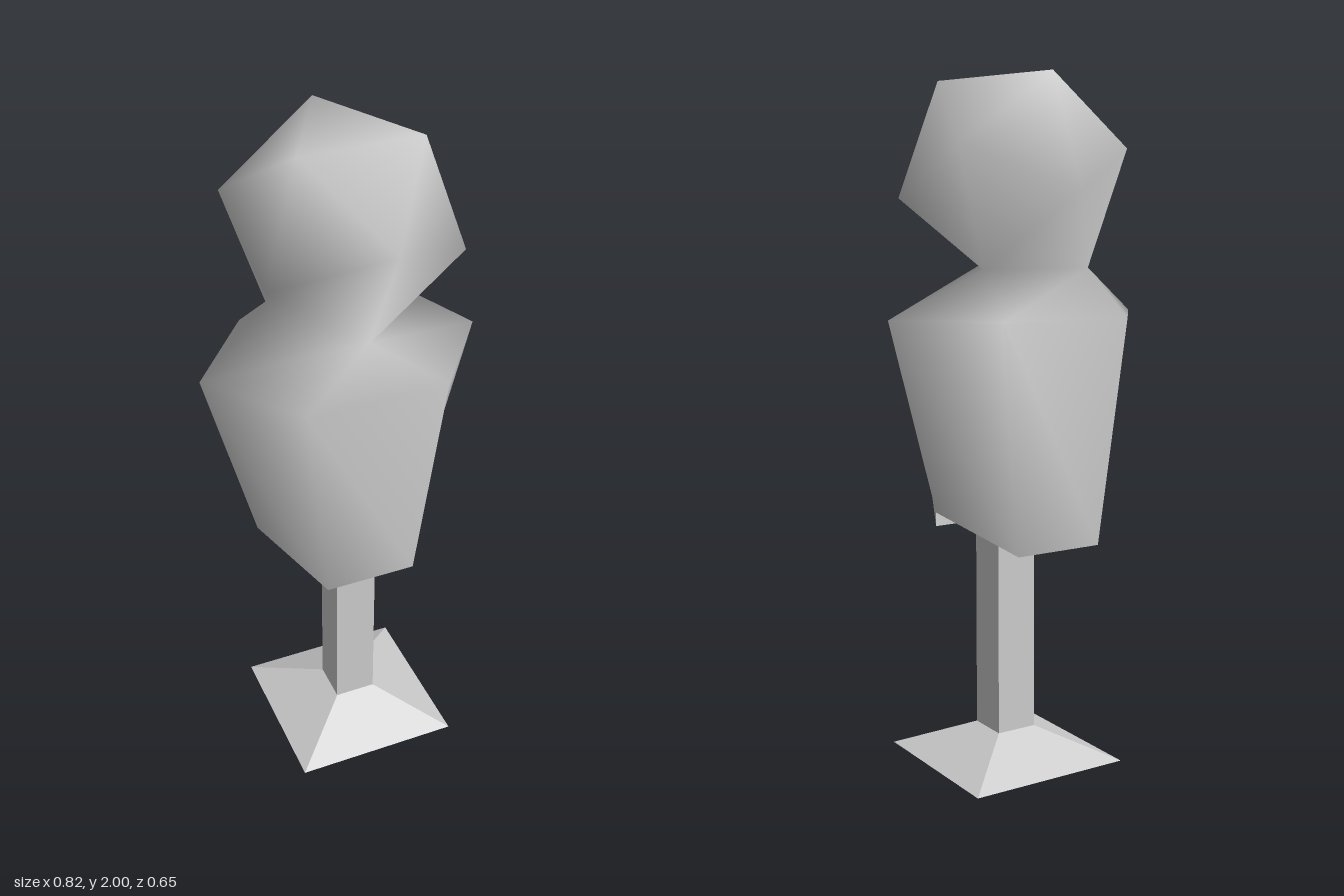
import * as THREE from 'three';

export function createModel() {
  const group = new THREE.Group();
  group.name = 'displayDummy';
  const smooth = new THREE.MeshStandardMaterial({ color: 0xcccccc, side: THREE.DoubleSide });
  const flat = new THREE.MeshStandardMaterial({ color: 0xcccccc, side: THREE.DoubleSide, flatShading: true });

  // Cross-sections, each going round from +x towards +z
  const points = [];
  const ring = (list) => list.map((p) => points.push(p) - 1);
  const hexagon = (sideX, sideY, x, y, z) => ring([
    [sideX, sideY, 0], [x, y, z], [-x, y, z], [-sideX, sideY, 0], [-x, y, -z], [x, y, -z],
  ]);
  const hem = hexagon(0.265, 0.78, 0.135, 0.68, 0.23);
  const shoulder = hexagon(0.41, 1.33, 0.205, 1.33, 0.265);
  const neck = ring([[0, 1.465, 0.195], [-0.175, 1.465, -0.115], [0.175, 1.465, -0.115]]);
  const temple = ring([
    [0.293, 1.66, 0.15], [0.02, 1.78, 0.327], [-0.27, 1.66, 0.165],
    [-0.28, 1.8, -0.155], [0, 1.68, -0.327], [0.285, 1.8, -0.17],
  ]);
  const crown = ring([[0.18, 1.985, 0.12], [-0.165, 1.985, 0.12], [0, 2, -0.19]]);

  // Triangle fans between neighbouring sections
  const fanUp = (out, apex, base) => {
    for (let i = 0; i + 1 < base.length; i++) out.push(base[i], apex, base[i + 1]);
  };
  const fanDown = (out, apex, edge) => {
    for (let i = 0; i + 1 < edge.length; i++) out.push(apex, edge[i], edge[i + 1]);
  };

  // Torso: open six-sided skirt, then shoulders closing onto the neck triangle
  const torso = [];
  for (let i = 0; i < 6; i++) {
    const j = (i + 1) % 6;
    torso.push(hem[i], shoulder[i], shoulder[j], hem[i], shoulder[j], hem[j]);
  }
  const [s0, s1, s2, s3, s4, s5] = shoulder;
  fanUp(torso, neck[0], [s0, s1, s2, s3]);
  fanUp(torso, neck[1], [s3, s4, s5]);
  fanUp(torso, neck[2], [s5, s0]);
  fanDown(torso, s0, [neck[2], neck[0]]);
  fanDown(torso, s3, [neck[0], neck[1]]);
  fanDown(torso, s5, [neck[1], neck[2]]);

  // Head: twenty-faced ball standing on the neck triangle
  const head = [];
  const t = (i) => temple[(i + 6) % 6];
  for (let k = 0; k < 3; k++) {
    const n = (k + 1) % 3;
    fanDown(head, neck[k], [t(2 * k), t(2 * k + 1), t(2 * k + 2)]);
    fanUp(head, t(2 * k + 2), [neck[k], neck[n]]);
    fanUp(head, crown[k], [t(2 * k - 1), t(2 * k), t(2 * k + 1)]);
    fanDown(head, t(2 * k + 1), [crown[k], crown[n]]);
  }
  head.push(crown[0], crown[2], crown[1]);

  // Shared normals keep the shading continuous across the neck
  const body = new THREE.BufferGeometry();
  body.setAttribute('position', new THREE.Float32BufferAttribute(points.flat(), 3));
  body.setIndex([...torso, ...head]);
  body.computeVertexNormals();
  for (const [name, index] of Object.entries({ torso, head })) {
    const mesh = new THREE.Mesh(body.clone().setIndex(index), smooth);
    mesh.name = name;
    group.add(mesh);
  }

  // Stand: open square post and hollow pyramid foot
  const squareTube = (name, topWidth, bottomWidth, height) => {
    const geo = new THREE.CylinderGeometry(topWidth / Math.SQRT2, bottomWidth / Math.SQRT2, height, 4, 1, true);
    geo.rotateY(Math.PI / 4).translate(0.008, height / 2, 0.04);
    const mesh = new THREE.Mesh(geo, flat);
    mesh.name = name;
    group.add(mesh);
  };
  squareTube('post', 0.125, 0.125, 1.0);
  squareTube('foot', 0.125, 0.5, 0.09);

  return group;
}
